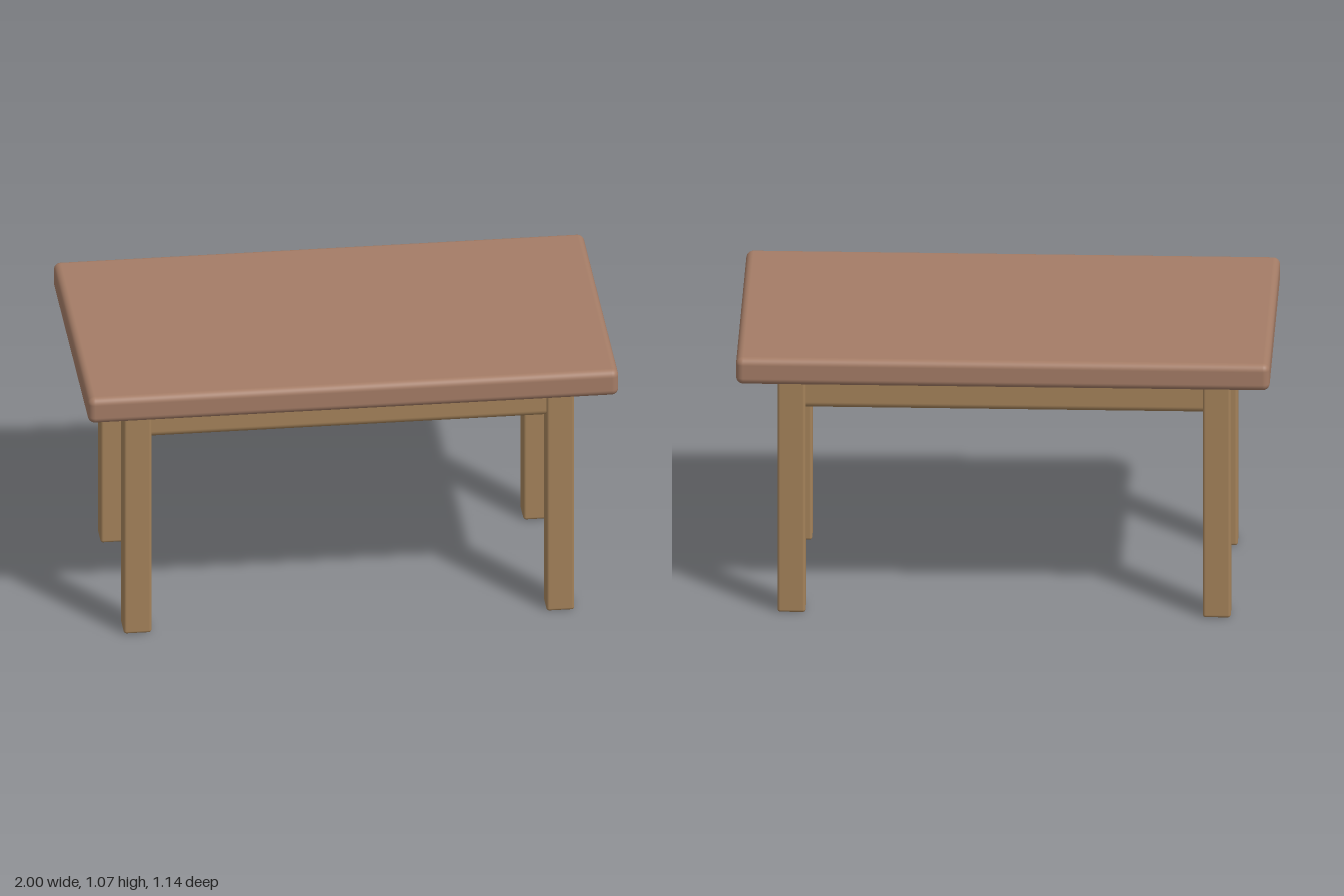
import * as THREE from 'three';
import { RoundedBoxGeometry } from 'three/addons/geometries/RoundedBoxGeometry.js';

export function createModel() {
  const table = new THREE.Group();
  table.name = 'table';
  const topWood = new THREE.MeshStandardMaterial({ color: 0xa47c66 });
  const legWood = new THREE.MeshStandardMaterial({ color: 0xa4825a });

  // Rounded block standing on height y0
  function block(name, w, h, d, radius, material, x, y0, z) {
    const mesh = new THREE.Mesh(new RoundedBoxGeometry(w, h, d, 4, radius), material);
    mesh.name = name;
    mesh.position.set(x, y0 + h / 2, z);
    table.add(mesh);
  }

  // Table top
  block('tableTop', 2, 0.106, 1.142, 0.027, topWood, 0, 0.967, 0);

  // Solid apron block, set slightly in from the outer leg faces
  block('apron', 1.64, 0.155, 0.82, 0.025, legWood, 0, 0.816, 0);

  // Four square legs
  for (const [sx, side] of [[1, 'Left'], [-1, 'Right']]) {
    for (const [sz, end] of [[1, 'front'], [-1, 'back']]) {
      block(`${end}${side}Leg`, 0.105, 0.967, 0.105, 0.011, legWood, sx * 0.797, 0, sz * 0.372);
    }
  }
  return table;
}
